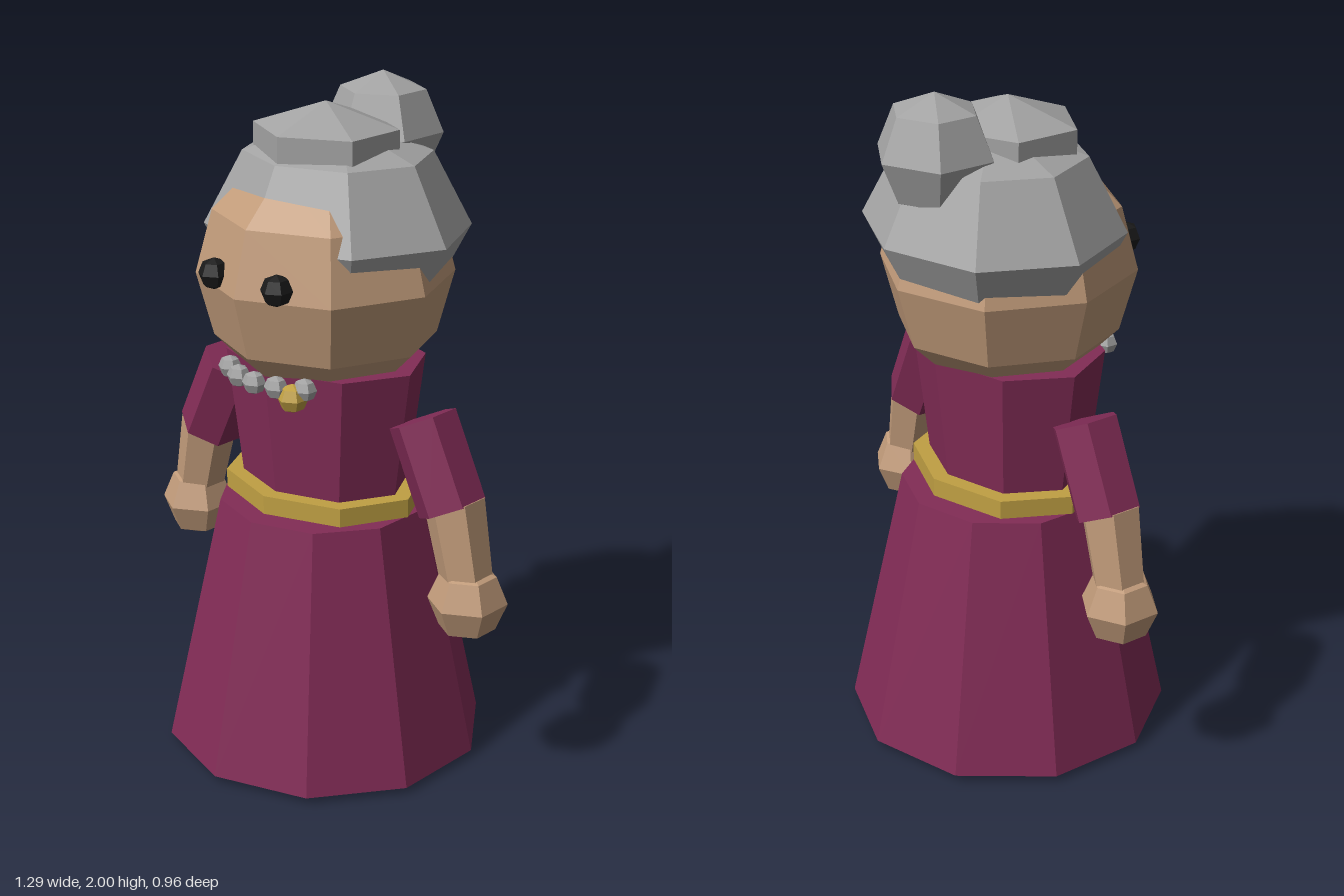
import * as THREE from 'three';

const mat = (name, color) => {
  const m = new THREE.MeshStandardMaterial({ color, flatShading: true });
  m.name = name;
  return m;
};

export function createModel() {
  const dress = mat('plum dress', 0x822c56);
  const skin = mat('skin', 0xc19b7a);
  const grey = mat('grey hair', 0xa3a3a3);
  const gold = mat('gold', 0xc0a043);
  const black = mat('black', 0x1a1a1a);

  const model = new THREE.Group();
  model.name = 'oldWoman';

  const add = (name, geometry, material, x, y, z) => {
    const mesh = new THREE.Mesh(geometry, material);
    mesh.name = name;
    mesh.position.set(x, y, z);
    model.add(mesh);
    return mesh;
  };
  // Faceted ball with a corner pointing to +z
  const ball = (name, material, [x, y, z], [rx, ry, rz], sides = 6, rows = 4) => {
    const g = new THREE.SphereGeometry(1, sides, rows);
    g.rotateY(Math.PI / 2).scale(rx, ry, rz);
    return add(name, g, material, x, y, z);
  };
  // Faceted upright tube with elliptical section
  const drum = (name, material, y0, y1, rBottom, rTop, sides, depth = 1) => {
    const g = new THREE.CylinderGeometry(rTop, rBottom, y1 - y0, sides);
    g.scale(1, 1, depth);
    return add(name, g, material, 0, (y0 + y1) / 2, 0);
  };
  // Limb between two points in the xy plane
  const limb = (name, material, [x0, y0], [x1, y1], r0, r1) => {
    const len = Math.hypot(x1 - x0, y1 - y0);
    const g = new THREE.CylinderGeometry(r0, r1, len, 6);
    const mesh = add(name, g, material, (x0 + x1) / 2, (y0 + y1) / 2, 0);
    mesh.rotation.z = Math.atan2(x1 - x0, y0 - y1);
    return mesh;
  };

  // Dress and belt
  drum('skirt', dress, 0.02, 0.78, 0.48, 0.315, 10);
  drum('bodice', dress, 0.77, 1.22, 0.26, 0.32, 8, 0.79);
  drum('belt', gold, 0.79, 0.845, 0.32, 0.32, 8, 0.82);

  // Head and hair
  ball('head', skin, [0, 1.46, 0], [0.37, 0.37, 0.37], 8, 6);
  ball('hair', grey, [0, 1.59, -0.05], [0.4, 0.3, 0.36], 8, 4);
  ball('hairCrown', grey, [0, 1.81, 0], [0.25, 0.14, 0.225], 6, 3);
  ball('hairBun', grey, [0, 1.83, -0.24], [0.18, 0.17, 0.17]);

  for (const s of [1, -1]) {
    const side = s > 0 ? 'left' : 'right';
    ball(side + 'Eye', black, [s * 0.12, 1.5, 0.325], [0.046, 0.046, 0.046]);
    // Arm
    limb(side + 'Sleeve', dress, [s * 0.368, 1.105], [s * 0.482, 0.865], 0.1, 0.1);
    limb(side + 'Forearm', skin, [s * 0.488, 0.89], [s * 0.54, 0.66], 0.088, 0.076);
    ball(side + 'Hand', skin, [s * 0.545, 0.6, 0], [0.115, 0.115, 0.115]);
    // Shoe
    add(side + 'Shoe', new THREE.BoxGeometry(0.2, 0.04, 0.36), black, s * 0.14, 0.02, 0.06);
  }

  // Necklace
  for (let i = -2; i <= 2; i++) {
    const x = i * 0.073;
    ball('bead', grey, [x, 1.2, 0.295 - x * x * 2.4], [0.036, 0.034, 0.034]);
  }
  ball('pendant', gold, [0.12, 1.175, 0.265], [0.045, 0.042, 0.045]);

  return model;
}
